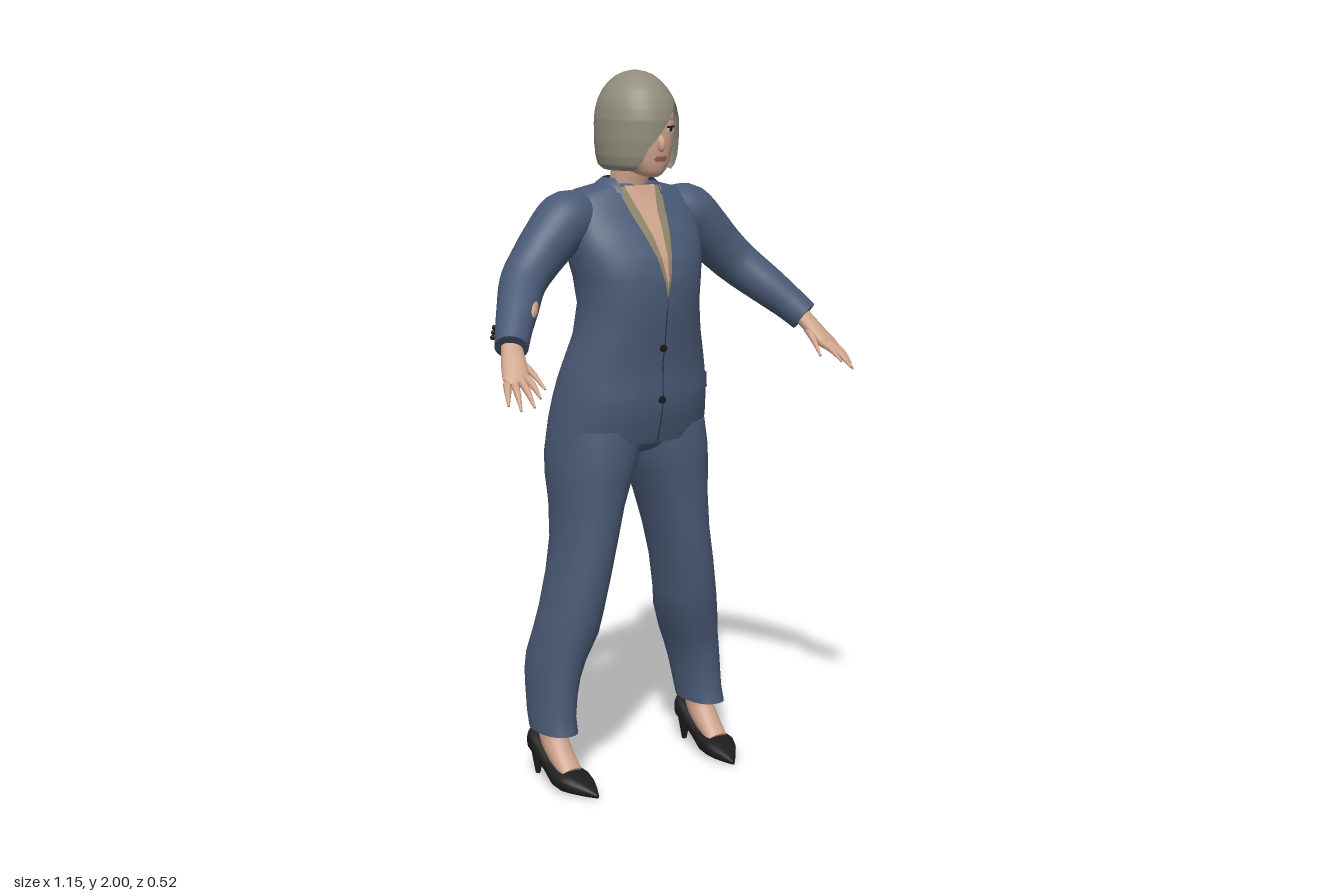
import * as THREE from 'three';

const paint = (name, color) => {
  const m = new THREE.MeshStandardMaterial({ color, side: THREE.DoubleSide });
  m.name = name;
  return m;
};
const V = (x, y, z) => new THREE.Vector3(x, y, z);

// piecewise linear lookup in a table whose first column is the height
function at(rows, y) {
  if (y <= rows[0][0]) return rows[0];
  for (let i = 1; i < rows.length; i++) {
    if (y <= rows[i][0]) {
      const a = rows[i - 1], b = rows[i], t = (y - a[0]) / (b[0] - a[0]);
      return a.map((v, k) => v + (b[k] - v) * t);
    }
  }
  return rows[rows.length - 1];
}

// symmetric cross-sections [y, halfWidth, front, back] -> [y, xMin, xMax, front, back]
const sym = rows => rows.map(([y, r, f, b]) => [y, -r, r, f, b]);

// horizontal superellipse ring
function ring([y, x0, x1, zf, zb], n, p = 2, from = 0, to = Math.PI * 2, wrap = true) {
  const pts = [], bend = v => Math.sign(v) * Math.abs(v) ** (2 / p);
  for (let i = 0; i < n; i++) {
    const a = from + (to - from) * i / (wrap ? n : n - 1);
    pts.push(V((x0 + x1) / 2 + (x1 - x0) / 2 * bend(Math.cos(a)), y,
      (zf + zb) / 2 + (zf - zb) / 2 * bend(Math.sin(a))));
  }
  return pts;
}

function build(pos, idx) {
  const g = new THREE.BufferGeometry();
  g.setAttribute('position', new THREE.Float32BufferAttribute(pos.flatMap(v => [v.x, v.y, v.z]), 3));
  g.setIndex(idx);
  g.computeVertexNormals();
  return g;
}

// closed skin over rings, capped at both ends and turned to face outwards
function skinOver(rings) {
  const n = rings[0].length, pos = rings.flat(), idx = [];
  for (let i = 0; i < rings.length - 1; i++) for (let j = 0; j < n; j++) {
    const a = i * n + j, b = i * n + (j + 1) % n;
    idx.push(a, a + n, b, b, a + n, b + n);
  }
  [rings[0], rings[rings.length - 1]].forEach((r, end) => {
    const c = pos.length, mid = V(0, 0, 0);
    r.forEach(p => mid.addScaledVector(p, 1 / n));
    pos.push(mid, ...r);
    for (let j = 0; j < n; j++) {
      const a = c + 1 + j, b = c + 1 + (j + 1) % n;
      idx.push(c, ...(end ? [b, a] : [a, b]));
    }
  });
  let volume = 0;
  for (let i = 0; i < idx.length; i += 3)
    volume += pos[idx[i]].dot(pos[idx[i + 1]].clone().cross(pos[idx[i + 2]]));
  return build(pos, volume < 0 ? idx.reverse() : idx);
}

// open grid of points f(u, v)
function grid(f, nu, nv) {
  const pos = [], idx = [];
  for (let j = 0; j <= nv; j++) for (let i = 0; i <= nu; i++) {
    pos.push(f(i / nu, j / nv));
    if (i < nu && j < nv) {
      const a = j * (nu + 1) + i, b = a + nu + 1;
      idx.push(a, a + 1, b, a + 1, b + 1, b);
    }
  }
  return build(pos, idx);
}

// tube through [x, y, z, sideRadius, otherRadius]
function limb(pts, n = 20, steps = 20) {
  const curve = new THREE.CatmullRomCurve3(pts.map(p => V(p[0], p[1], p[2])));
  const radii = pts.map((p, i) => [i / (pts.length - 1), p[3], p[4] ?? p[3]]);
  const rings = [];
  for (let i = 0; i <= steps; i++) {
    const t = i / steps, c = curve.getPoint(t), d = curve.getTangent(t);
    const s = d.clone().cross(V(0, 1, 0)).normalize(), u = s.clone().cross(d);
    const [, a, b] = at(radii, t);
    rings.push(Array.from({ length: n }, (_, j) => {
      const w = j / n * Math.PI * 2;
      return c.clone().addScaledVector(s, a * Math.cos(w)).addScaledVector(u, b * Math.sin(w));
    }));
  }
  return skinOver(rings);
}

// thin sheet lying on the front (or back) of a lofted body, between edges x0(y) and x1(y)
function sheet(rows, p, y0, y1, x0, x1, off, back = false, nu = 8, nv = 28) {
  return grid((u, v) => {
    const y = y0 + (y1 - y0) * v, x = x0(y) + (x1(y) - x0(y)) * (back ? 1 - u : u);
    const [, a, b, f, r] = at(rows, y);
    const k = Math.min(1, Math.abs((x - (a + b) / 2) / ((b - a) / 2)));
    const h = (f - r) / 2 * (1 - k ** p) ** (1 / p) + off;
    return V(x, y, (f + r) / 2 + (back ? -h : h));
  }, nu, nv);
}

// shell wrapped round the back, open at the front between xL(y) and xR(y)
function openShell(rows, xL, xR, n = 48, steps = 40) {
  const y0 = rows[0][0], y1 = rows[rows.length - 1][0];
  const rings = Array.from({ length: steps + 1 }, (_, i) => {
    const r = at(rows, y0 + (y1 - y0) * i / steps);
    const ang = x => Math.acos(THREE.MathUtils.clamp(x / r[2], -1, 1));
    return ring(r, n + 1, 2, ang(xL(r[0])) - Math.PI * 2, ang(xR(r[0])), false);
  });
  return grid((u, v) => rings[Math.round(v * steps)][n - Math.round(u * n)], n, steps);
}

export function createModel() {
  const model = new THREE.Group();
  const suit = paint('navy suit', 0x4a5a76), seamMat = paint('dark seam', 0x2a3344);
  const skin = paint('skin', 0xcfa48c), hairMat = paint('ash hair', 0x918c7b);
  const shirt = paint('khaki shirt', 0x8f8468), black = paint('black', 0x1c1c1c);
  const lipMat = paint('lips', 0x9a5c50), white = paint('eye white', 0xd8d2ca);
  const add = (name, geo, mat) => {
    const m = new THREE.Mesh(geo, mat);
    m.name = name;
    model.add(m);
    return m;
  };
  const edge = table => y => at(table, y)[1];
  const flat = x => () => x;

  // jacket body
  const torso = sym([[0.98, .24, .05, -.26], [1.04, .235, .068, -.256], [1.1, .228, .08, -.243],
    [1.15, .222, .078, -.222], [1.2, .212, .077, -.2], [1.28, .188, .09, -.18], [1.365, .175, .1, -.176],
    [1.44, .184, .1, -.188], [1.5, .198, .084, -.198], [1.56, .208, .05, -.203], [1.62, .208, .005, -.204],
    [1.652, .19, -.016, -.2], [1.675, .155, -.028, -.188], [1.692, .085, -.035, -.155]]);
  add('jacket', skinOver(torso.map(r => ring(r, 56, 2.3))), suit);
  add('jacketCollar', openShell(sym([[1.66, .125, -.005, -.193], [1.69, .095, -.02, -.172],
    [1.708, .072, -.03, -.152]]), flat(-.062), flat(.062), 32, 6), suit);

  // open neckline: shirt, bare chest and lapels
  const shirtW = edge([[1.39, .002], [1.5, .026], [1.6, .055], [1.685, .075]]);
  const chestW = edge([[1.42, .001], [1.55, .016], [1.62, .03], [1.685, .05]]);
  const lapelW = edge([[1.36, .004], [1.42, .04], [1.52, .085], [1.6, .105], [1.67, .09]]);
  add('shirtFront', sheet(torso, 2.3, 1.39, 1.685, y => -shirtW(y), shirtW, .003), shirt);
  add('chest', sheet(torso, 2.3, 1.42, 1.688, y => -chestW(y), chestW, .006), skin);
  add('frontSeam', sheet(torso, 2.3, .982, 1.39, flat(-.002), flat(.002), .003), seamMat);
  add('backVent', sheet(torso, 2.3, .981, 1.1, flat(-.004), flat(.004), .003, true), seamMat);
  for (const y of [1.25, 1.105]) {
    const b = add('jacketButton', new THREE.CylinderGeometry(.01, .01, .008, 16), black);
    b.rotation.x = Math.PI / 2;
    b.position.set(-.004, y, at(torso, y)[3] + .004);
  }

  // neck and face
  add('neck', skinOver(sym([[1.6, .06, -.05, -.15], [1.68, .055, -.033, -.138], [1.74, .052, -.02, -.13],
    [1.79, .052, -.01, -.12]]).map(r => ring(r, 28))), skin);
  const face = sym([[1.715, .016, .045, .0], [1.722, .032, .055, -.03], [1.735, .047, .062, -.06],
    [1.76, .064, .067, -.1], [1.8, .078, .07, -.12], [1.85, .088, .07, -.13], [1.9, .086, .06, -.13],
    [1.94, .065, .03, -.1]]);
  add('face', skinOver(face.map(r => ring(r, 36, 2.2))), skin);
  const nose = add('nose', new THREE.SphereGeometry(1, 14, 10), skin);
  nose.scale.set(.011, .024, .016);
  nose.position.set(0, 1.807, .068);
  nose.rotation.x = -.25;
  const lipTop = x => 1.772 - Math.abs(x) * .2;
  add('mouth', sheet(face, 2.2, 1.758, lipTop(0), y => -.022 + Math.abs(y - 1.765), y => .022 - Math.abs(y - 1.765), .003), lipMat);
  for (const s of [-1, 1]) {
    const bar = (name, x0, x1, y0, y1, off, mat) => add(name,
      sheet(face, 2.2, y0, y1, flat(Math.min(s * x0, s * x1)), flat(Math.max(s * x0, s * x1)), off, false, 6, 3), mat);
    bar('eyeWhite', .02, .05, 1.838, 1.849, .002, white);
    bar('iris', .029, .041, 1.838, 1.849, .004, black);
    bar('eyelid', .017, .053, 1.848, 1.853, .005, black);
    bar('eyebrow', .016, .056, 1.868, 1.873, .003, hairMat);
  }

  // bobbed hair, swept across the right side of the face
  const hair = sym([[1.732, .088, .058, -.15], [1.745, .1, .068, -.166], [1.77, .107, .075, -.171],
    [1.81, .111, .079, -.175], [1.87, .111, .08, -.175], [1.9, .106, .073, -.171], [1.925, .098, .063, -.163],
    [1.95, .084, .046, -.15], [1.97, .067, .027, -.133], [1.985, .049, .006, -.112],
    [1.995, .029, -.017, -.088], [2, .004, -.044, -.06]]);
  add('hair', openShell(hair,
    edge([[1.732, -.06], [1.79, -.042], [1.84, -.002], [1.88, .032], [1.92, .066]]),
    edge([[1.732, .066], [1.78, .084], [1.86, .088], [1.9, .08], [1.92, .066]]), 64, 60), hairMat);

  // trousers
  const pelvis = add('trouserSeat', new THREE.SphereGeometry(1, 28, 16), suit);
  pelvis.scale.set(.15, .06, .135);
  pelvis.position.set(0, .99, -.1);
  const leg = [[.155, .202, .312, -.002, -.18], [.2, .2, .311, -.014, -.195], [.26, .193, .308, -.014, -.21],
    [.31, .182, .305, -.012, -.222], [.36, .163, .3, -.008, -.225], [.44, .13, .286, .012, -.21],
    [.5, .12, .274, .022, -.2], [.6, .103, .254, .034, -.195], [.7, .08, .238, .038, -.2],
    [.8, .053, .235, .04, -.216], [.88, .022, .239, .045, -.238], [.94, .0, .238, .05, -.247],
    [1.02, -.01, .228, .045, -.24]];

  for (const s of [1, -1]) {
    const side = s > 0 ? 'left' : 'right';
    const mx = pts => pts.map(([x, ...rest]) => [s * x, ...rest]);

    add(side + 'TrouserLeg', skinOver(leg.map(([y, a, b, f, r]) =>
      ring([y, Math.min(s * a, s * b), Math.max(s * a, s * b), f, r], 36, 2.25))), suit);
    add(side + 'Lapel', sheet(torso, 2.3, 1.36, 1.67,
      y => s > 0 ? shirtW(y) : -lapelW(y), y => s > 0 ? lapelW(y) : -shirtW(y), .008), suit);
    add(side + 'PocketFlap', sheet(torso, 2.3, 1.115, 1.16, flat(s > 0 ? .085 : -.19),
      flat(s > 0 ? .19 : -.085), .008, false, 10, 4), suit);

    // sleeve with cuff buttons
    add(side + 'Sleeve', limb(mx([[.14, 1.6, -.1, .07], [.2, 1.595, -.095, .084], [.26, 1.545, -.088, .076],
      [.31, 1.495, -.08, .069], [.36, 1.445, -.06, .064], [.42, 1.38, .005, .056], [.46, 1.335, .05, .049],
      [.49, 1.297, .087, .045]]), 28, 32), suit);
    for (let i = 0; i < 3; i++) {
      const b = add('cuffButton', new THREE.SphereGeometry(.007, 10, 8), black);
      b.position.set(s * (.497 + .01 * i), 1.342 - .011 * i, .014 + .012 * i);
    }

    // hand: palm, four fingers and thumb
    add(side + 'Palm', limb(mx([[.482, 1.308, .072, .027, .023], [.503, 1.262, .12, .034, .021],
      [.52, 1.226, .16, .036, .016], [.523, 1.215, .175, .026, .01]]), 18, 14), skin);
    [[.494, 1.23, .162, .5, 1.187, .245], [.513, 1.226, .168, .526, 1.168, .257],
      [.531, 1.22, .166, .552, 1.158, .235], [.546, 1.216, .156, .571, 1.168, .203],
      [.482, 1.265, .112, .459, 1.2, .202]].forEach(([x, y, z, a, b, c], i) =>
      add(side + (i < 4 ? 'Finger' : 'Thumb'), limb(mx([[x, y, z, .0115],
        [(x + a) / 2, (y + b) / 2 + .006, (z + c) / 2, .009], [a, b, c, .003]]), 10, 8), skin));

    // foot and high-heeled shoe
    add(side + 'Foot', limb(mx([[.257, .19, -.095, .042, .048], [.257, .135, -.092, .038, .044],
      [.257, .09, -.055, .037, .036], [.256, .048, .0, .034, .022]]), 20, 14), skin);
    const shoe = [[-.196, .26, .014, .08, .135], [-.182, .26, .03, .066, .14], [-.14, .26, .037, .058, .115],
      [-.08, .258, .042, .03, .08], [-.03, .257, .051, .004, .064], [.01, .255, .053, 0, .058],
      [.04, .25, .044, 0, .046], [.075, .243, .024, 0, .03], [.105, .237, .004, .002, .012]];
    add(side + 'Shoe', skinOver(shoe.map(([z, x, w, b, t]) =>
      ring([0, s * x - w, s * x + w, t, b], 24, 2.5).map(p => V(p.x, p.z, z)))), black);
    const heel = add(side + 'Heel', new THREE.CylinderGeometry(.022, .007, .085, 14), black);
    heel.position.set(s * .26, .0425, -.172);
  }

  // torn patch baring the right forearm
  const tear = add('sleeveTear', new THREE.SphereGeometry(1, 20, 12), skin);
  const along = V(-.55, -.55, .63).normalize(), out = V(.62, .25, .74).normalize();
  tear.setRotationFromMatrix(new THREE.Matrix4().makeBasis(along, out, along.clone().cross(out).normalize()));
  tear.scale.set(.036, .01, .016);
  tear.position.copy(V(-.425, 1.375, .01).addScaledVector(out, .05));

  return model;
}
